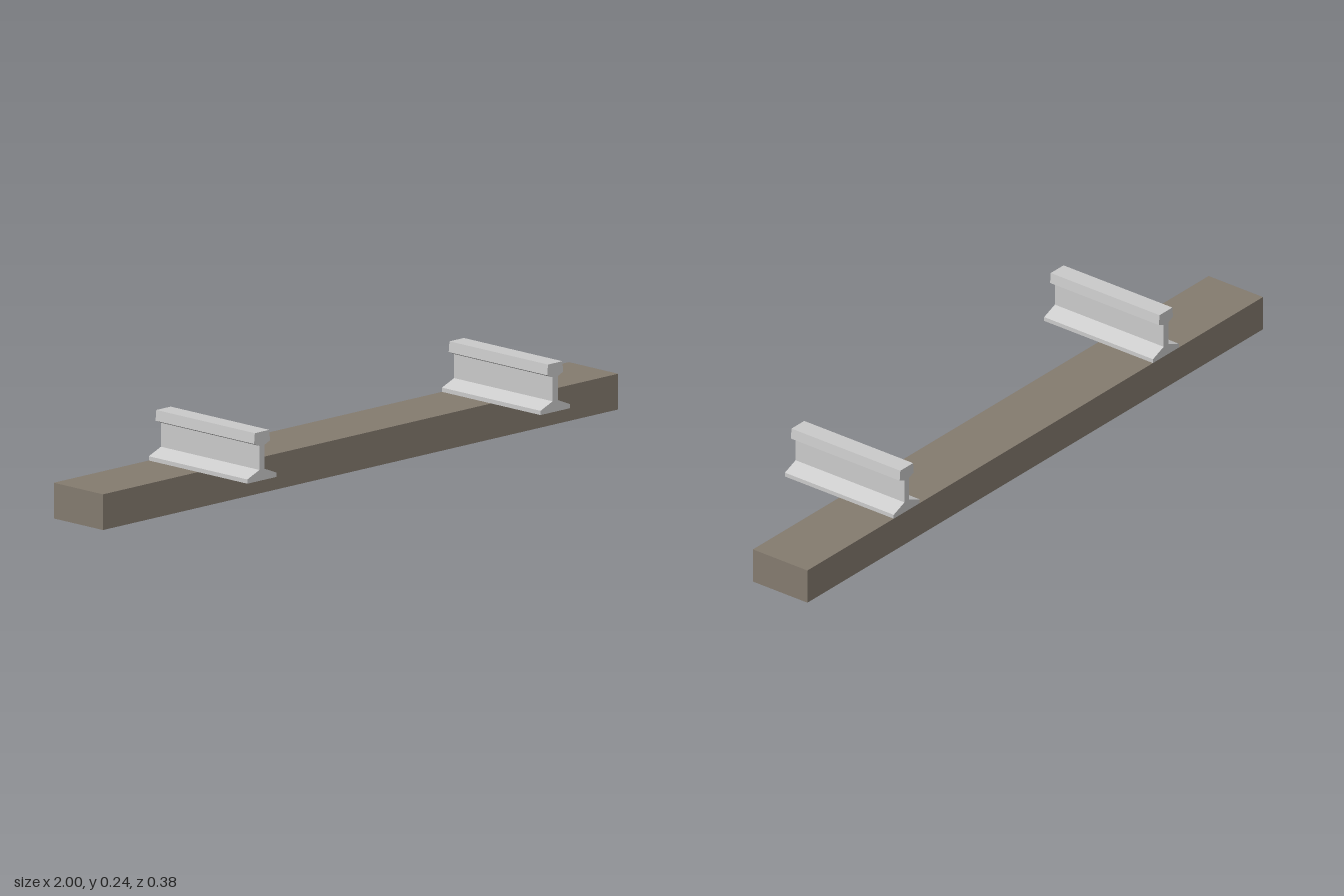
import * as THREE from 'three';

export function createModel() {
  const group = new THREE.Group();
  const wood = new THREE.MeshStandardMaterial({ color: 0x857c70 });
  wood.name = 'weathered wood';
  const steel = new THREE.MeshStandardMaterial({ color: 0xcccccc });
  steel.name = 'pale steel';

  // Sleeper beam, set under the rear half of the rails
  const sleeper = new THREE.Mesh(new THREE.BoxGeometry(2, 0.101, 0.192), wood);
  sleeper.name = 'sleeper';
  sleeper.position.set(0, 0.0505, -0.096);
  group.add(sleeper);

  // Half of the rail section from foot to head, mirrored for the other side
  const half = [
    [0.057, 0.101], [0.057, 0.113], [0.01, 0.132],
    [0.01, 0.2], [0.031, 0.209], [0.028, 0.239],
  ];
  const mirrored = half.map(([x, y]) => [-x, y]).reverse();
  const section = new THREE.Shape([...half, ...mirrored].map(([x, y]) => new THREE.Vector2(x, y)));
  const length = 0.384;
  const railGeometry = new THREE.ExtrudeGeometry(section, { depth: length, bevelEnabled: false });
  railGeometry.translate(0, 0, -length / 2);

  // Pair of rails
  for (const [name, x] of [['rightRail', -0.574], ['leftRail', 0.564]]) {
    const rail = new THREE.Mesh(railGeometry, steel);
    rail.name = name;
    rail.position.x = x;
    group.add(rail);
  }
  return group;
}
